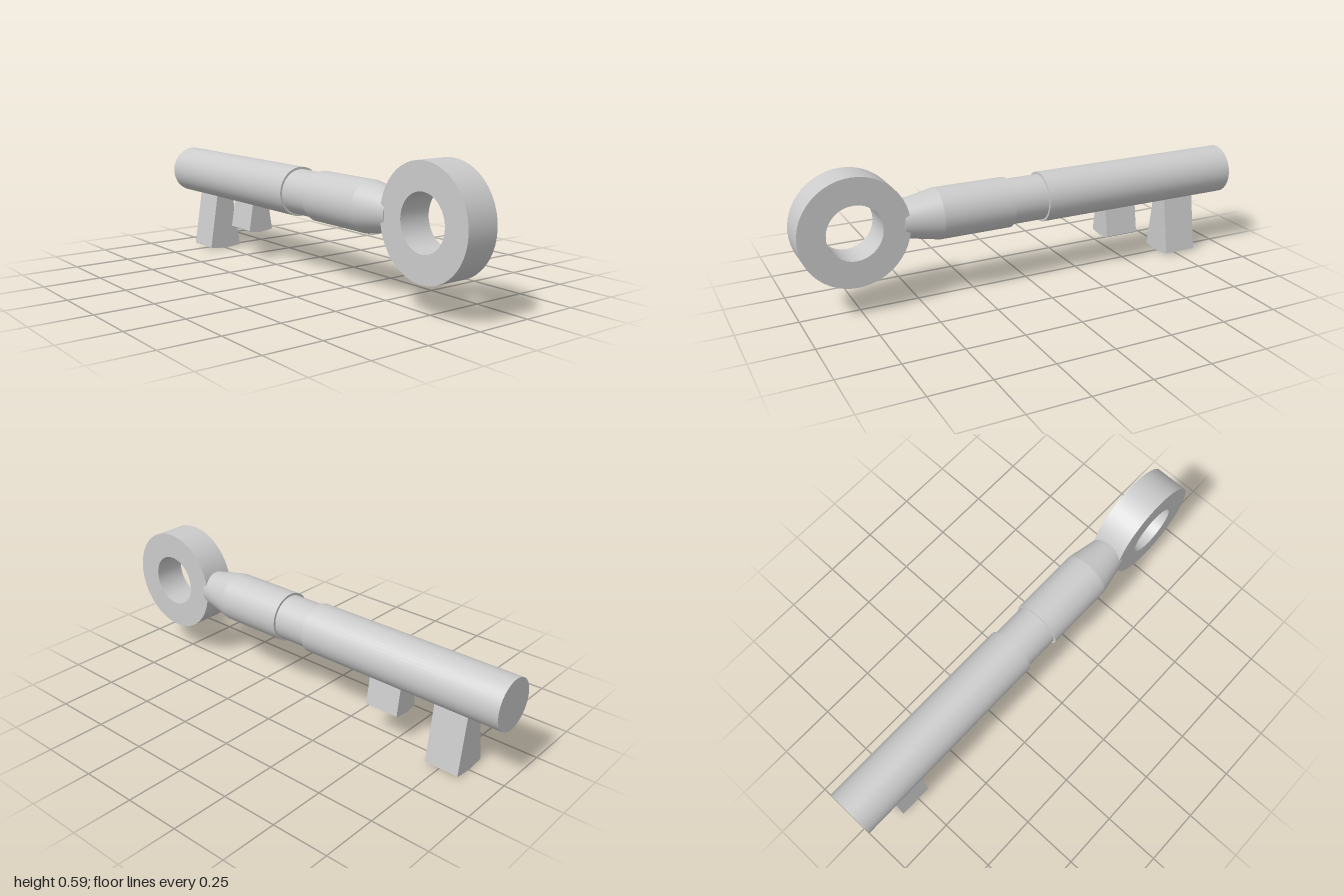
import * as THREE from 'three';

const AXIS_Y = 0.362;
const material = new THREE.MeshStandardMaterial({ color: 0xcccccc, side: THREE.DoubleSide });

function addMesh(group, name, geometry) {
  const mesh = new THREE.Mesh(geometry, material);
  mesh.name = name;
  group.add(mesh);
  return mesh;
}

// Round section along x, from x0 (radius r0) to x1 (radius r1)
function addRod(group, name, x0, x1, r0, r1) {
  const rod = addMesh(group, name, new THREE.CylinderGeometry(r1, r0, x1 - x0, 48));
  rod.rotation.z = -Math.PI / 2;
  rod.position.set((x0 + x1) / 2, AXIS_Y, 0);
}

// Flared tooth with a shallow ridged underside, extruded along x
function addTooth(group, name, x0, x1, bottom, halfWidth) {
  const top = 0.3;
  const topHalf = halfWidth - 0.15 * (top - bottom);
  const shape = new THREE.Shape([
    [-topHalf, top], [-halfWidth, bottom + 0.011], [-halfWidth * 0.9, bottom + 0.007],
    [0, bottom],
    [halfWidth * 0.9, bottom + 0.007], [halfWidth, bottom + 0.011], [topHalf, top],
  ].map(([z, y]) => new THREE.Vector2(z, y)));
  const geometry = new THREE.ExtrudeGeometry(shape, { depth: x1 - x0, bevelEnabled: false });
  const tooth = addMesh(group, name, geometry);
  tooth.rotation.y = Math.PI / 2;
  tooth.position.x = x0;
}

export function createModel() {
  const key = new THREE.Group();
  key.name = 'key';

  // Shaft, narrow neck, collar and tapered end
  addRod(key, 'shaft', -1, -0.063, 0.108, 0.108);
  addRod(key, 'neck', -0.07, 0.1, 0.098, 0.098);
  addRod(key, 'collar', 0.095, 0.41, 0.108, 0.108);
  addRod(key, 'taper', 0.41, 0.566, 0.108, 0.077);

  // Ring handle: square-edged profile turned around z
  const profile = [[0.115, -0.072], [0.228, -0.072], [0.228, 0.072], [0.115, 0.072], [0.115, -0.072]];
  // Each edge is its own lathe so the rims stay sharp
  const ring = new THREE.Group();
  ring.name = 'ringHandle';
  const faces = ['ringBack', 'ringRim', 'ringFront', 'ringBore'];
  faces.forEach((name, i) => {
    const edge = [profile[i], profile[i + 1]].map(([r, h]) => new THREE.Vector2(r, h));
    addMesh(ring, name, new THREE.LatheGeometry(edge, 48));
  });
  ring.rotation.x = Math.PI / 2;
  ring.position.set(0.771, 0.36, 0);
  key.add(ring);

  // Teeth under the shaft
  addTooth(key, 'longTooth', -0.842, -0.69, 0.001, 0.082);
  addTooth(key, 'shortTooth', -0.53, -0.376, 0.132, 0.062);

  return key;
}
